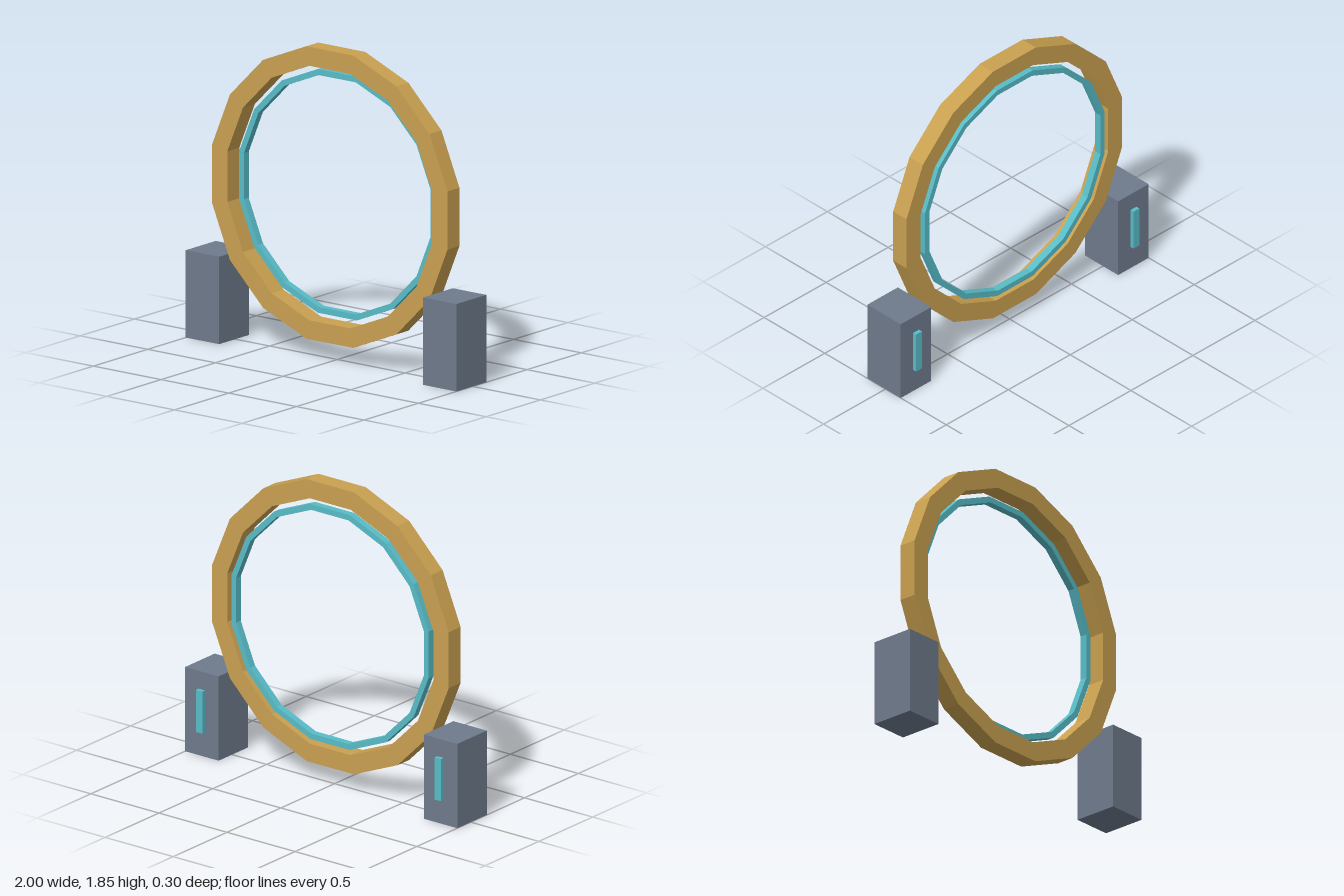
import * as THREE from 'three';

const SIDES = 16;
const CENTRE_Y = 0.98;

const material = (color) => new THREE.MeshStandardMaterial({ color, flatShading: true });

// Corners of a regular polygon with a flat edge on top, sized by its apothem
function polygon(apothem) {
  const r = apothem / Math.cos(Math.PI / SIDES);
  return Array.from({ length: SIDES }, (_, i) => {
    const a = ((i + 0.5) * 2 * Math.PI) / SIDES;
    return new THREE.Vector2(r * Math.cos(a), r * Math.sin(a));
  });
}

// Faceted ring between two apothems, spanning zBack to zFront
function ring(name, outer, inner, zBack, zFront, mat) {
  const shape = new THREE.Shape(polygon(outer));
  shape.holes.push(new THREE.Path(polygon(inner)));
  const geometry = new THREE.ExtrudeGeometry(shape, { depth: zFront - zBack, bevelEnabled: false });
  const mesh = new THREE.Mesh(geometry, mat);
  mesh.name = name;
  mesh.position.set(0, CENTRE_Y, zBack);
  return mesh;
}

// Box given by its minimum and maximum corners
function box(name, min, max, mat) {
  const size = max.map((v, i) => v - min[i]);
  const mesh = new THREE.Mesh(new THREE.BoxGeometry(...size), mat);
  mesh.name = name;
  mesh.position.set(...max.map((v, i) => (v + min[i]) / 2));
  return mesh;
}

export function createModel() {
  const model = new THREE.Group();
  model.name = 'ringGate';
  const gold = material(0xc9a050);
  const teal = material(0x58bcc8);
  const slate = material(0x6e7a8c);

  // Heavy outer ring and the thin light ring inside its back edge
  model.add(ring('outerRing', 0.87, 0.757, -0.04, 0.07, gold));
  model.add(ring('innerLightRing', 0.725, 0.69, -0.044, 0, teal));

  // Side pillars, each with a light strip on its back
  for (const [side, s] of [['left', 1], ['right', -1]]) {
    const pillar = new THREE.Group();
    pillar.name = side + 'Pillar';
    const x = s * 0.877;
    pillar.add(box(side + 'PillarBlock', [x - 0.123, 0, -0.125], [x + 0.123, 0.52, 0.15], slate));
    pillar.add(box(side + 'LightStrip', [x - 0.024, 0.15, -0.15], [x + 0.024, 0.41, -0.12], teal));
    model.add(pillar);
  }
  return model;
}
